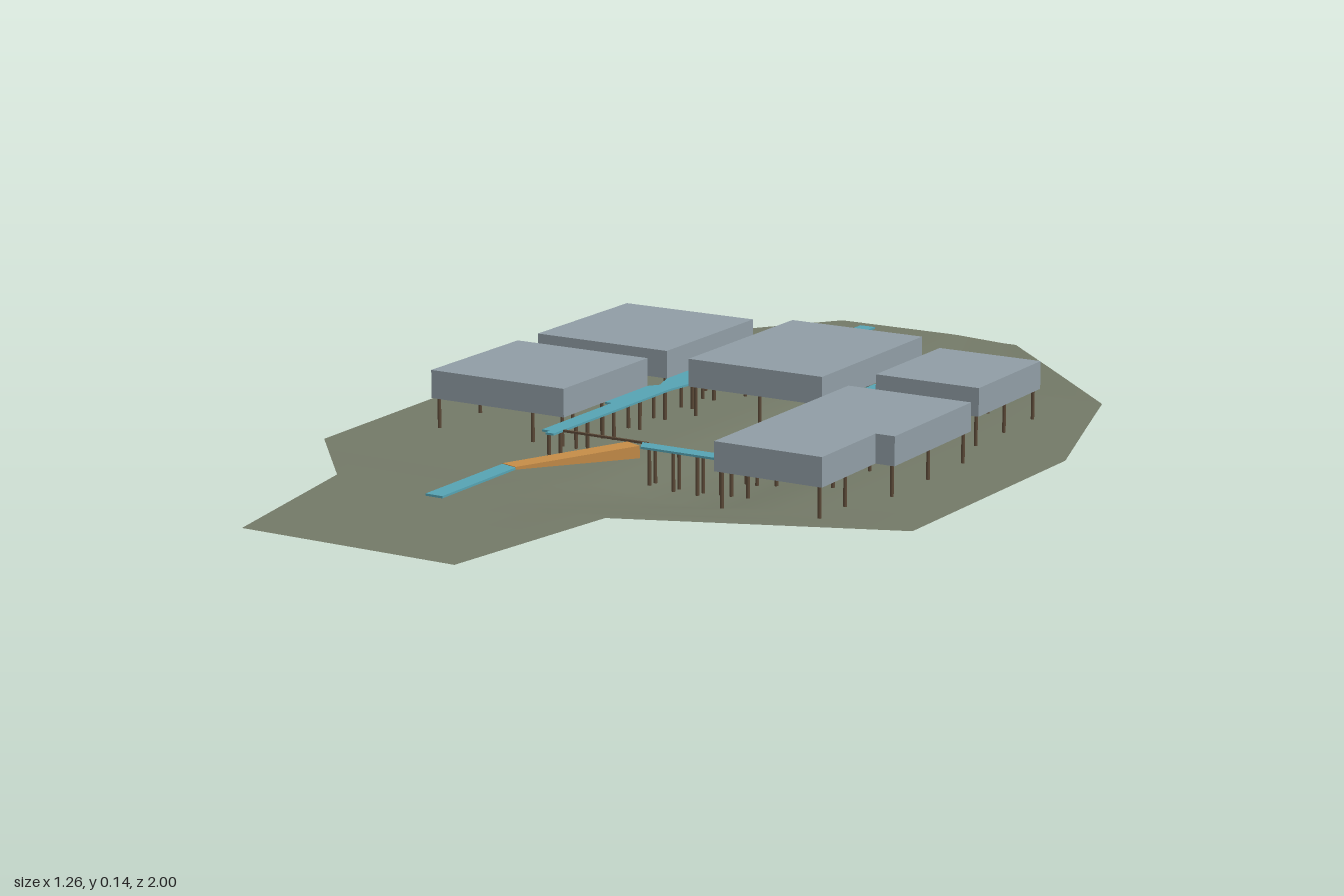
import * as THREE from 'three';

const mat = (name, color, extra = {}) => {
  const m = new THREE.MeshStandardMaterial({ color, ...extra });
  m.name = name;
  return m;
};

// Outline half-edges of the ground as [z, x], back to front
const LEFT = [[-1, -0.3], [-0.6, -0.585], [-0.12, -0.635], [0.4, -0.62], [0.63, -0.42], [1, -0.345]];
const RIGHT = [[-1, 0.11], [-0.59, 0.5], [-0.16, 0.63], [0.4, 0.615], [0.63, 0.145], [1, 0.09]];

const lerpTable = (t, z) => {
  let i = 0;
  while (i < t.length - 2 && z > t[i + 1][0]) i++;
  return THREE.MathUtils.mapLinear(z, t[i][0], t[i + 1][0], t[i][1], t[i + 1][1]);
};

// Gentle ground: rises at the front, with a shallow valley along the right of centre
const groundY = (x, z) => {
  const base = lerpTable([[-1, 0.02], [-0.5, 0.025], [0.4, 0.025], [0.63, 0.036], [1, 0.037]], z);
  const across = Math.max(0, 1 - Math.abs(x - 0.15) / 0.18);
  const along = lerpTable([[-1, 0.3], [-0.6, 0.6], [-0.2, 1], [0.38, 1], [0.6, 0], [1, 0]], z);
  return base - 0.018 * Math.min(1, across * 1.6) * along;
};

function groundGeometry() {
  const rows = [-1, -0.8, -0.6, -0.59, -0.4, -0.16, -0.12, 0.05, 0.2, 0.4, 0.5, 0.63, 0.8, 1];
  const n = 24, pos = [], idx = [];
  rows.forEach((z, r) => {
    for (let i = 0; i <= n; i++) {
      const x = THREE.MathUtils.lerp(lerpTable(LEFT, z), lerpTable(RIGHT, z), i / n);
      pos.push(x, groundY(x, z), z);
      if (r && i) {
        const d = r * (n + 1) + i, c = d - 1, b = d - n - 1, a = b - 1;
        idx.push(a, c, b, b, c, d);
      }
    }
  });
  const g = new THREE.BufferGeometry();
  g.setAttribute('position', new THREE.Float32BufferAttribute(pos, 3));
  g.setIndex(idx);
  g.computeVertexNormals();
  return g;
}

// Plan outline [x, z] raised from y0 to y1
function slab(points, y0, y1) {
  const shape = new THREE.Shape(points.map(([x, z]) => new THREE.Vector2(x, -z)));
  return new THREE.ExtrudeGeometry(shape, { depth: y1 - y0, bevelEnabled: false })
    .rotateX(-Math.PI / 2).translate(0, y0, 0);
}

const rect = (x0, x1, z0, z1) => [[x0, z0], [x1, z0], [x1, z1], [x0, z1]];

export function createModel() {
  const model = new THREE.Group();
  const ground = mat('ground olive', 0x737967, { side: THREE.DoubleSide });
  const block = mat('building grey', 0x909da5);
  const deck = mat('walkway teal', 0x56a3b3);
  const ramp = mat('ramp orange', 0xc68d48);
  const wood = mat('post brown', 0x5c4a38);
  const add = (name, geo, m) => {
    const mesh = new THREE.Mesh(geo, m);
    mesh.name = name;
    model.add(mesh);
    return mesh;
  };

  add('ground', groundGeometry(), ground);

  // Raised buildings
  const FLOOR = 0.083, ROOF = 0.137;
  const buildings = {
    backRightBuilding: rect(-0.495, -0.2, -0.455, -0.13),
    frontRightBuilding: rect(-0.495, -0.2, -0.06, 0.23),
    centreBuilding: rect(-0.13, 0.16, -0.49, -0.095),
    backLeftBuilding: rect(0.235, 0.45, -0.42, -0.165),
    frontLeftBuilding: [[0.235, -0.06], [0.488, -0.06], [0.488, 0.23], [0.45, 0.23], [0.45, 0.42], [0.235, 0.42]],
  };
  for (const [name, pts] of Object.entries(buildings)) add(name, slab(pts, FLOOR, ROOF), block);

  // Walkways, with wider bays beside the buildings
  const walkways = {
    rightWalkway: [[-0.185, -0.5], [-0.15, -0.5], [-0.15, -0.295], [-0.132, -0.295], [-0.132, -0.17],
      [-0.15, -0.06], [-0.15, 0.34], [-0.168, 0.34], [-0.168, 0.325], [-0.185, 0.325], [-0.185, 0.09],
      [-0.2, 0.09], [-0.2, -0.06], [-0.185, -0.08], [-0.2, -0.13], [-0.2, -0.295], [-0.185, -0.295]],
    leftWalkway: [[0.178, -0.5], [0.21, -0.5], [0.21, -0.295], [0.235, -0.295], [0.235, -0.165],
      [0.215, -0.06], [0.235, -0.06], [0.235, 0.31], [0.2, 0.31], [0.2, 0.34], [0.035, 0.34], [0.02, 0.31],
      [0.18, 0.31], [0.18, -0.06], [0.162, -0.17], [0.162, -0.295], [0.178, -0.295]],
    backWalkway: [[-0.185, -0.5], [-0.165, -0.515], [-0.042, -0.545], [-0.108, -0.59], [-0.108, -0.73],
      [-0.075, -0.73], [-0.075, -0.61], [0.005, -0.565], [0.195, -0.513], [0.21, -0.5], [0.178, -0.49],
      [0.005, -0.535], [-0.15, -0.49]],
  };
  for (const [name, pts] of Object.entries(walkways)) add(name, slab(pts, FLOOR - 0.004, FLOOR), deck);
  add('entryWalkway', slab(rect(-0.15, -0.115, 0.505, 0.74), 0.06, 0.064), deck);
  add('linkBeam', slab(rect(-0.15, 0.03, 0.304, 0.309), FLOOR - 0.004, FLOOR), wood);

  // Sloping ramp: a slab whose top falls towards the entry walkway
  const rampGeo = slab([[-0.15, 0.505], [-0.005, 0.32], [0.03, 0.335], [-0.115, 0.515]], 0.06, FLOOR);
  const p = rampGeo.attributes.position;
  for (let i = 0; i < p.count; i++) {
    if (p.getY(i) > 0.07 && p.getZ(i) > 0.45) p.setY(i, 0.065);
  }
  rampGeo.computeVertexNormals();
  add('ramp', rampGeo, ramp);

  // Posts from just below the ground up to floors and decks
  const posts = [];
  const grid = (xs, zs, top = FLOOR - 0.002) => xs.forEach(x => zs.forEach(z => posts.push([x, z, top])));
  grid([-0.485, -0.35, -0.21], [-0.445, -0.29, -0.14]);
  grid([-0.485, -0.275, -0.21], [-0.05, 0.085, 0.22]);
  grid([-0.12, 0.02, 0.15], [-0.48, -0.29, -0.105]);
  grid([0.245, 0.345, 0.44], [-0.41, -0.29, -0.175]);
  grid([0.245, 0.36, 0.478], [-0.05, 0.085, 0.22]);
  grid([0.245, 0.44], [0.32, 0.41]);
  const run = [-0.48, -0.4, -0.31, -0.23, -0.15, -0.05, 0.04, 0.13, 0.22, 0.31];
  grid([-0.18, -0.155], run);
  grid([0.183, 0.205], run);
  grid([0.05, 0.1, 0.15], [0.315, 0.335]);
  grid([-0.1, -0.08], [-0.72, -0.66, -0.61]);
  grid([-0.02, 0.02], [-0.55]);
  grid([-0.1, 0.11], [-0.52]);

  const postGroup = new THREE.Group();
  postGroup.name = 'posts';
  model.add(postGroup);
  for (const [x, z, top] of posts) {
    const y0 = Math.max(0, groundY(x, z) - 0.007), h = top - y0;
    const post = new THREE.Mesh(new THREE.CylinderGeometry(0.0035, 0.0035, h, 8), wood);
    post.name = 'post';
    post.position.set(x, y0 + h / 2, z);
    postGroup.add(post);
  }
  return model;
}
